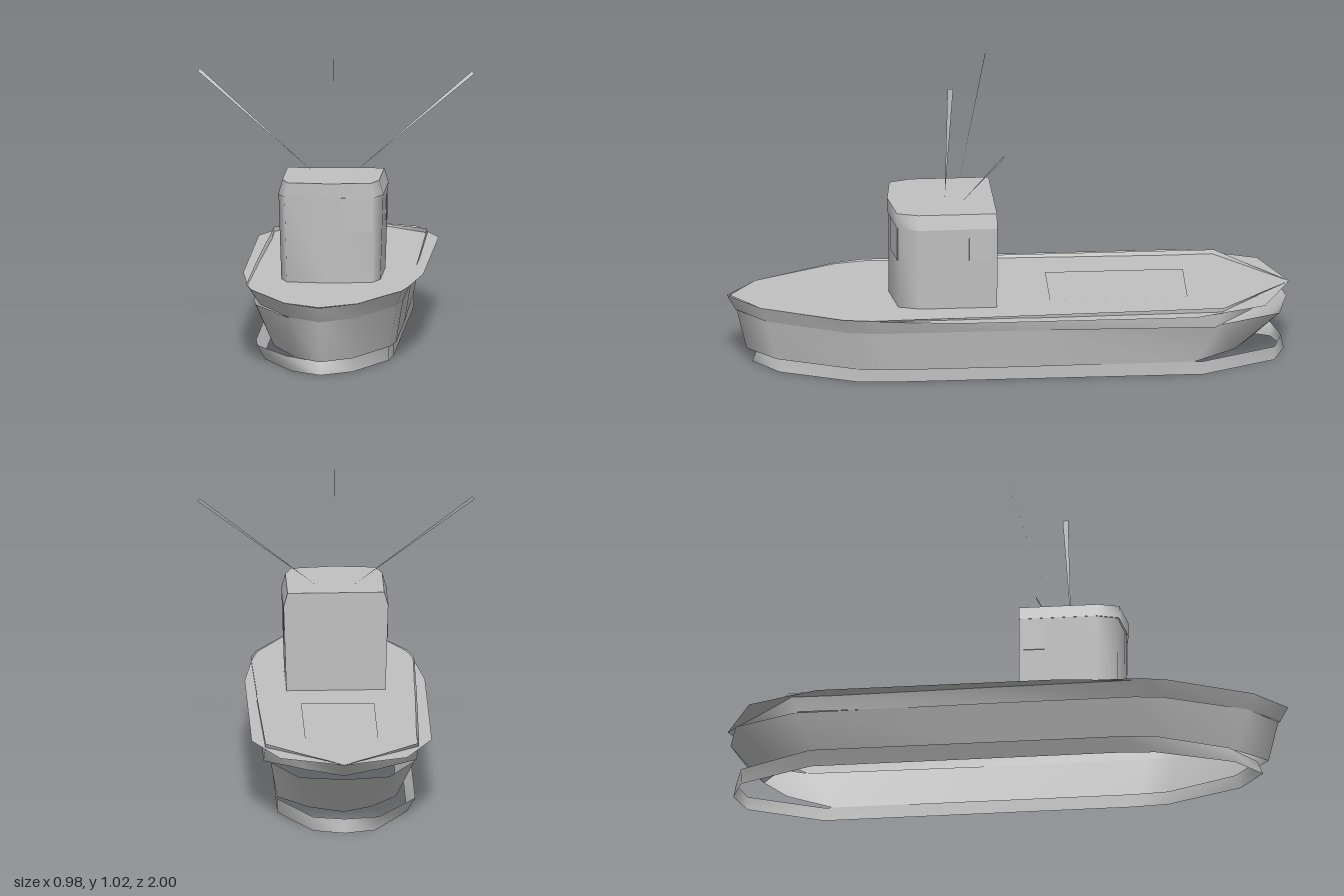
import * as THREE from 'three';

const grey = new THREE.MeshStandardMaterial({ color: 0xc0c0c0, side: THREE.DoubleSide });
grey.name = 'paint grey';

// Smooth open sheet running round between closed rings of [x, y, z] points
function loft(name, rings, capped = false) {
  const n = rings[0].length, index = [];
  for (let r = 0; r < rings.length - 1; r++) {
    for (let i = 0; i < n; i++) {
      const a = r * n + i, b = r * n + (i + 1) % n;
      index.push(a, b, a + n, b, b + n, a + n);
    }
  }
  const geometry = new THREE.BufferGeometry();
  geometry.setAttribute('position', new THREE.Float32BufferAttribute(rings.flat(2), 3));
  geometry.setIndex(index);
  geometry.computeVertexNormals();
  const mesh = new THREE.Mesh(geometry, grey);
  mesh.name = name;
  if (capped) mesh.add(plate(name + 'Top', rings[rings.length - 1]));
  return mesh;
}

// Flat horizontal sheet filling an outline, facing up
function plate(name, points) {
  const shape = new THREE.Shape(points.map(([x, , z]) => new THREE.Vector2(x, -z)));
  const geometry = new THREE.ShapeGeometry(shape).rotateX(-Math.PI / 2);
  geometry.translate(0, points[0][1], 0);
  const mesh = new THREE.Mesh(geometry, grey);
  mesh.name = name;
  return mesh;
}

// Half outline from bow to stern, mirrored to a ring; rightScale widens or narrows the -x side
function ring(half, rightScale = 1) {
  const mirrored = half.slice(1, -1).reverse().map(([x, y, z]) => [-x * rightScale, y, z]);
  return [...half, ...mirrored];
}
const atHeight = (y, half) => half.map(([x, z]) => [x, y, z]);

// Flat aerial: a sliver that widens from its foot to its tip
function aerial(name, foot, tipA, tipB) {
  const geometry = new THREE.BufferGeometry();
  geometry.setAttribute('position', new THREE.Float32BufferAttribute([...foot, ...tipA, ...tipB], 3));
  geometry.computeVertexNormals();
  const mesh = new THREE.Mesh(geometry, grey);
  mesh.name = name;
  return mesh;
}

export function createModel() {
  const boat = new THREE.Group();
  boat.name = 'patrolBoat';

  // Deck overhanging the hull, with a flat hatch
  boat.add(plate('deck', ring(atHeight(0.255, [
    [0, 0.99], [0.13, 0.89], [0.265, 0.6], [0.285, 0.5], [0.32, 0.2],
    [0.32, -0.65], [0.225, -0.9], [0, -1],
  ]))));
  boat.add(plate('hatch', [
    [-0.13, 0.258, -0.14], [0.13, 0.258, -0.14], [0.13, 0.258, -0.63], [-0.13, 0.258, -0.63],
  ]));

  // Flared band under the deck edge, its rim rising a little above the deck
  const bandTop = [
    [0, 0.255, 1], [0.13, 0.255, 0.89], [0.27, 0.258, 0.6], [0.29, 0.26, 0.5],
    [0.285, 0.265, 0], [0.272, 0.27, -0.75], [0.13, 0.262, -0.88], [0, 0.255, -1],
  ];
  const bandFoot = atHeight(0.2, [
    [0, 0.97], [0.12, 0.87], [0.25, 0.58], [0.265, 0.48],
    [0.265, 0], [0.28, -0.72], [0.13, -0.85], [0, -0.94],
  ]);
  boat.add(loft('bulwark', [ring(bandFoot, 0.94), ring(bandTop)]));

  // Open hull shell
  const hullTop = atHeight(0.2, [
    [0, 0.965], [0.12, 0.865], [0.25, 0.58], [0.265, 0.48],
    [0.265, 0], [0.255, -0.74], [0.16, -0.955], [0, -0.99],
  ]);
  const hullFoot = atHeight(0.05, [
    [0, 0.93], [0.11, 0.83], [0.225, 0.55], [0.24, 0.44],
    [0.24, 0], [0.23, -0.65], [0.12, -0.8], [0, -0.87],
  ]);
  boat.add(loft('hull', [ring(hullFoot, 0.84), ring(hullTop)]));

  // Loose skirt below the hull, standing off on the right
  const skirt = (y, dz) => atHeight(y, [
    [0, 0.89 + dz], [0.11, 0.8 + dz], [0.22, 0.55], [0.23, 0.42],
    [0.23, 0], [0.23, -0.68], [0.11, -0.94], [0, -0.97 - dz / 2],
  ]);
  boat.add(loft('skirt', [ring(skirt(0, 0.02)), ring(skirt(0.05, 0), 1.13)]));

  // Wheelhouse: walls, thin window band and tapered roof
  const cabin = (y, w, front, back = 0.05) => atHeight(y, [
    [0, front], [0.86 * w, front - 0.025], [w, front - 0.1], [w, back],
  ]);
  const cabinRing = (...args) => {
    const half = cabin(...args);
    return [...half, ...half.slice(1).reverse().map(([x, y, z]) => [-x, y, z + 0.008])];
  };
  // Duplicate the back corners so the rear wall stays crisp
  const crisp = (r) => [...r.slice(0, 4), r[3], r[4], ...r.slice(4)];
  boat.add(loft('cabinWalls', [
    crisp(cabinRing(0.255, 0.176, 0.425)), crisp(cabinRing(0.56, 0.186, 0.425)),
  ]));
  boat.add(loft('cabinRoof', [
    crisp(cabinRing(0.56, 0.187, 0.43)), crisp(cabinRing(0.612, 0.172, 0.43)),
  ], true));

  // Window panes, thin plates on the front and both sides
  for (const side of [-1, 1]) {
    const frontPane = new THREE.Mesh(new THREE.BoxGeometry(0.115, 0.125, 0.004), grey);
    frontPane.name = 'frontWindow';
    frontPane.position.set(side * 0.097, 0.497, 0.411);
    frontPane.rotation.y = side * 0.155;
    const sidePane = new THREE.Mesh(new THREE.BoxGeometry(0.004, 0.12, 0.08), grey);
    sidePane.name = 'sideWindow';
    sidePane.position.set(side * 0.184, 0.5, 0.11);
    boat.add(frontPane, sidePane);
  }

  // Three aerials: two splayed to the sides and one upright
  for (const side of [-1, 1]) {
    aerialPair(boat, side);
  }
  boat.add(aerial('mast', [0, 0.612, 0.225], [0, 1.025, 0.215], [0, 1.025, 0.195]));
  return boat;
}

function aerialPair(boat, side) {
  boat.add(aerial('sideAerial', [side * 0.07, 0.612, 0.175],
    [side * 0.492, 0.953, 0.05], [side * 0.484, 0.963, 0.047]));
}
